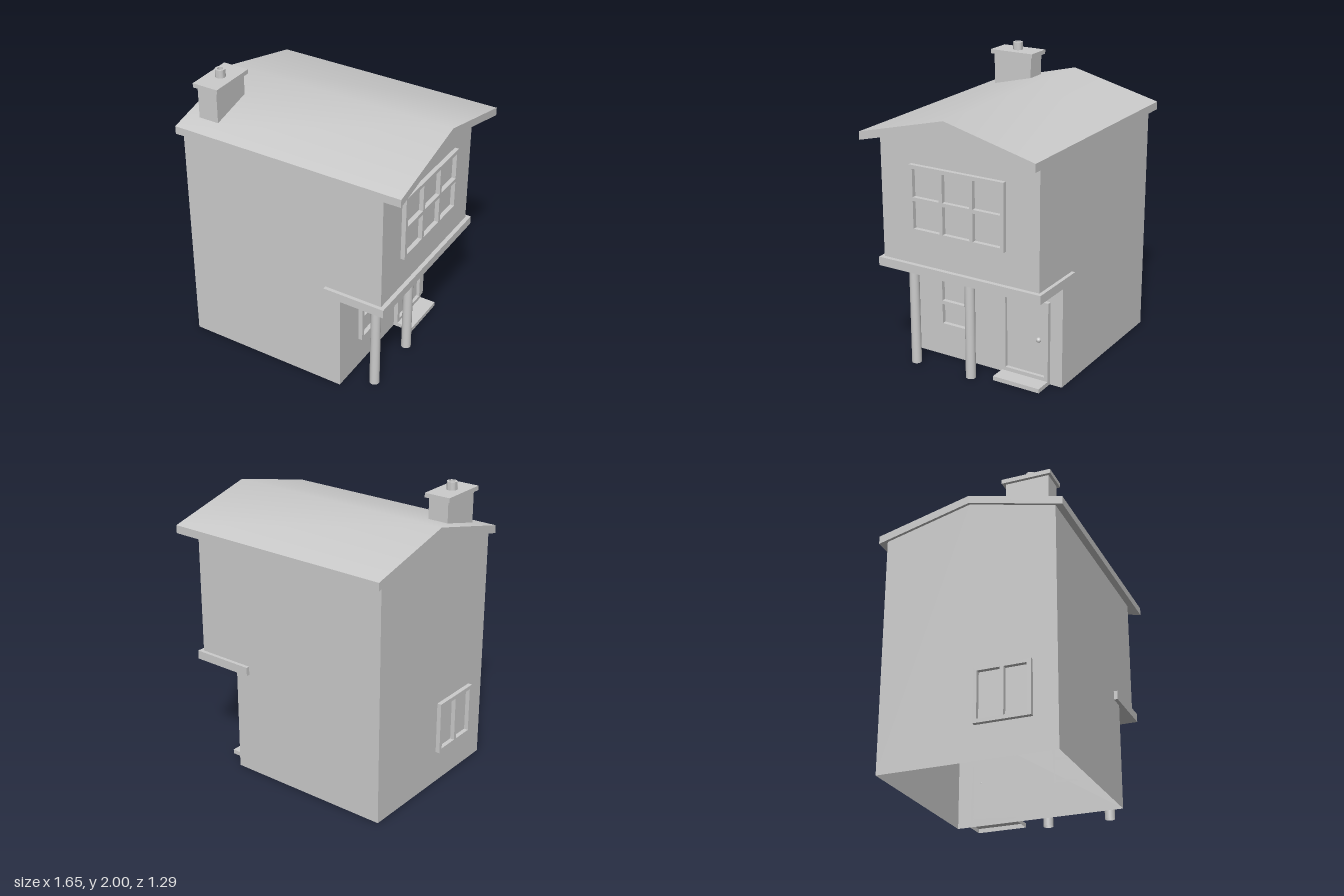
import * as THREE from 'three';
import { toCreasedNormals } from 'three/addons/utils/BufferGeometryUtils.js';

const solid = new THREE.MeshStandardMaterial({ color: 0xcccccc });
const thin = new THREE.MeshStandardMaterial({ color: 0xcccccc, side: THREE.DoubleSide });

const BACK_X = -0.8, PORCH_X = 0.375, FRONT_X = 0.675; // wall planes
const HALF_Z = 0.59, FLOOR_Y = 0.755, WALL_Y = 1.625, RIDGE_Y = 1.77;

function shapeOf(points) {
  return new THREE.Shape(points.map(([x, y]) => new THREE.Vector2(x, y)));
}

function rect(x0, x1, y0, y1) {
  return [[x0, y0], [x1, y0], [x1, y1], [x0, y1]];
}

export function createModel() {
  const house = new THREE.Group();
  house.name = 'house';

  function add(name, geometry, material = solid, parent = house) {
    const mesh = new THREE.Mesh(geometry, material);
    mesh.name = name;
    parent.add(mesh);
    return mesh;
  }

  // Box given by its limits
  function box(name, x0, x1, y0, y1, z0, z1, parent = house) {
    const mesh = add(name, new THREE.BoxGeometry(x1 - x0, y1 - y0, z1 - z0), solid, parent);
    mesh.position.set((x0 + x1) / 2, (y0 + y1) / 2, (z0 + z1) / 2);
    return mesh;
  }

  // Hollow walls, open underneath
  const walls = new THREE.Group();
  walls.name = 'walls';
  house.add(walls);
  const profile = [[BACK_X, 0], [PORCH_X, 0], [PORCH_X, FLOOR_Y], [FRONT_X, FLOOR_Y],
    [FRONT_X, WALL_Y], [BACK_X, WALL_Y]];
  for (const side of [1, -1]) {
    const points = side > 0 ? profile : profile.map(([x, y]) => [-x, y]).reverse();
    const wall = add('sideWall', new THREE.ShapeGeometry(shapeOf(points)), thin, walls);
    wall.rotation.y = side > 0 ? 0 : Math.PI;
    wall.position.z = side * HALF_Z;
  }

  // Flat wall facing +x or -x, with an optional gable peak
  function endWall(name, x, side, y0, y1, gabled) {
    const points = rect(-HALF_Z, HALF_Z, y0, y1);
    if (gabled) points.splice(3, 0, [0, RIDGE_Y]);
    const wall = add(name, new THREE.ShapeGeometry(shapeOf(points)), thin, walls);
    wall.rotation.y = side * Math.PI / 2;
    wall.position.x = x;
  }
  endWall('rearGableWall', BACK_X, -1, 0, WALL_Y, true);
  endWall('upperGableWall', FRONT_X, 1, FLOOR_Y, WALL_Y, true);
  endWall('porchWall', PORCH_X, 1, 0, FLOOR_Y, false);

  // Shallow pitched roof, softly shaded over the ridge
  const roofShape = shapeOf([[-0.643, 1.61], [0, RIDGE_Y], [0.643, 1.61],
    [0.643, 1.665], [0, 1.825], [-0.643, 1.665]]);
  const roofGeometry = new THREE.ExtrudeGeometry(roofShape, { depth: 1.64, bevelEnabled: false });
  roofGeometry.translate(0, 0, -0.82).rotateY(Math.PI / 2);
  add('roof', toCreasedNormals(roofGeometry, 0.7));

  // Slab between the storeys, over the porch
  box('porchSlab', 0.265, 0.705, 0.725, 0.785, -0.615, 0.615);

  // Porch columns
  for (const z of [0.44, 0]) {
    const column = add('porchColumn', new THREE.CylinderGeometry(0.034, 0.034, 0.725, 24, 1, true), thin);
    column.position.set(0.557, 0.3625, z);
  }

  // Raised frame with a grid of openings, on a wall facing +x or -x
  function wallFrame(name, x, side, z0, z1, y0, y1, cols, rows) {
    const border = 0.026, bar = 0.025, depth = 0.03;
    const [u0, u1] = side > 0 ? [-z1, -z0] : [z0, z1];
    const shape = shapeOf(rect(u0, u1, y0, y1));
    const w = (u1 - u0 - 2 * border - (cols - 1) * bar) / cols;
    const h = (y1 - y0 - 2 * border - (rows - 1) * bar) / rows;
    for (let c = 0; c < cols; c++) {
      for (let r = 0; r < rows; r++) {
        const u = u0 + border + c * (w + bar), v = y0 + border + r * (h + bar);
        shape.holes.push(shapeOf(rect(u, u + w, v, v + h)));
      }
    }
    const frame = add(name, new THREE.ExtrudeGeometry(shape, { depth, bevelEnabled: false }));
    frame.rotation.y = side * Math.PI / 2;
    frame.position.x = x;
  }
  wallFrame('upperWindow', FRONT_X, 1, -0.352, 0.352, 1.012, 1.466, 3, 2);
  wallFrame('porchWindow', PORCH_X, 1, 0.097, 0.35, 0.227, 0.59, 1, 2);
  wallFrame('rearWindow', BACK_X, -1, 0.055, 0.43, 0.227, 0.59, 2, 1);
  wallFrame('doorFrame', PORCH_X, 1, -0.5, -0.15, 0.03, 0.59, 1, 1);

  // Door leaf and knob
  box('door', PORCH_X, PORCH_X + 0.006, 0.055, 0.565, -0.475, -0.175);
  add('doorKnob', new THREE.SphereGeometry(0.017, 20, 14)).position.set(0.391, 0.31, -0.422);

  // Doorstep, hollow underneath
  const stepGeometry = new THREE.BoxGeometry(0.145, 0.03, 0.35);
  const index = Array.from(stepGeometry.index.array);
  index.splice(18, 6); // drop the bottom face
  stepGeometry.setIndex(index);
  stepGeometry.clearGroups();
  add('doorstep', stepGeometry, thin).position.set(PORCH_X + 0.0725, 0.015, -0.325);

  // Chimney stack, cap and open pot
  const chimney = new THREE.Group();
  chimney.name = 'chimney';
  house.add(chimney);
  box('chimneyStack', -0.72, -0.575, 1.69, 1.918, 0.218, 0.515, chimney);
  box('chimneyCap', -0.741, -0.555, 1.915, 1.945, 0.198, 0.534, chimney);
  const potProfile = [[0.02, 1.945], [0.034, 1.945], [0.034, 2], [0.02, 2], [0.02, 1.945]]
    .map(([r, y]) => new THREE.Vector2(r, y));
  const pot = add('chimneyPot', toCreasedNormals(new THREE.LatheGeometry(potProfile, 24), 0.6), thin, chimney);
  pot.position.set(-0.648, 0, 0.366);

  return house;
}
